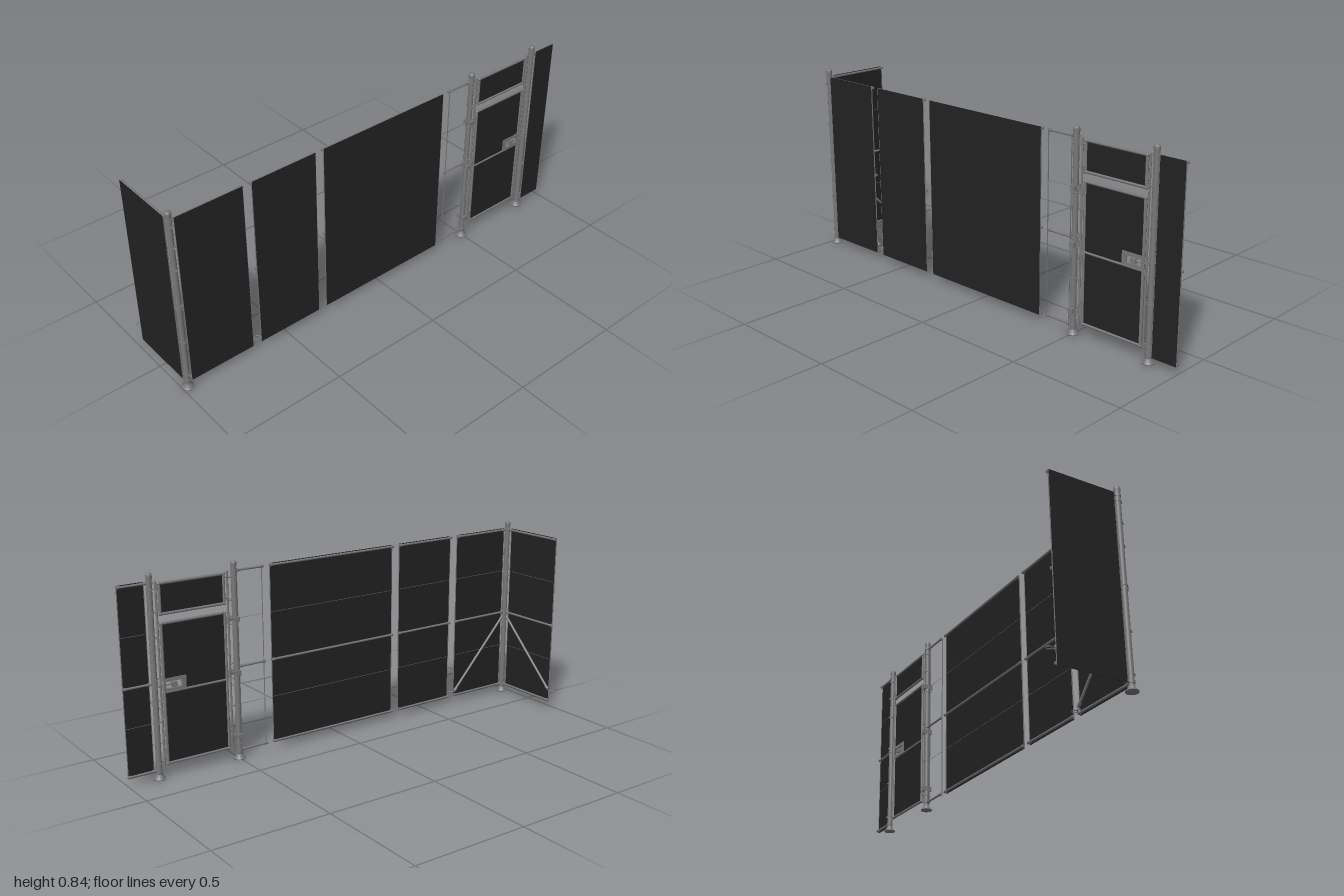
import * as THREE from 'three';

const material = (name, color) => {
  const m = new THREE.MeshStandardMaterial({ color });
  m.name = name;
  return m;
};

export function createModel() {
  const root = new THREE.Group();
  root.name = 'fence';
  const metal = material('galvanised metal', 0x777777);
  const screen = material('black screen', 0x222222);
  const WALL_Z = 0.162, CORNER_X = -0.975;
  const RAILS = [0.037, 0.398, 0.797], WIRES = [0.235, 0.6];
  const V = (x, y, z = 0) => new THREE.Vector3(x, y, z);

  function add(parent, name, geo, mat, x = 0, y = 0, z = 0) {
    const m = new THREE.Mesh(geo, mat);
    m.name = name;
    m.position.set(x, y, z);
    parent.add(m);
    return m;
  }
  const box = (p, name, mat, w, h, d, x, y, z = 0) =>
    add(p, name, new THREE.BoxGeometry(w, h, d), mat, x, y, z);

  // Round bar between two points
  function bar(p, name, a, b, r, sides = 12) {
    const d = b.clone().sub(a);
    const m = add(p, name, new THREE.CylinderGeometry(r, r, d.length(), sides), metal);
    m.position.copy(a).add(b).multiplyScalar(0.5);
    m.quaternion.setFromUnitVectors(V(0, 1, 0), d.normalize());
    return m;
  }
  function group(name, x, z, parent = root) {
    const g = new THREE.Group();
    g.name = name;
    g.position.set(x, 0, z);
    parent.add(g);
    return g;
  }

  // Post with flared foot, domed cap and clamp bands
  function post(name, x) {
    const g = group(name, x, WALL_Z);
    const profile = [[0, 0], [0.025, 0], [0.025, 0.004], [0.018, 0.007], [0.0145, 0.02],
      [0.0115, 0.021], [0.0115, 0.815], [0.013, 0.815], [0.013, 0.828], [0.011, 0.834],
      [0.006, 0.8365], [0, 0.837]].map(([r, y]) => new THREE.Vector2(r, y));
    add(g, 'postShaft', new THREE.LatheGeometry(profile, 20).toNonIndexed(), metal);
    for (const y of [0.068, 0.235, 0.415, 0.58, 0.68, 0.772]) {
      add(g, 'clampBand', new THREE.CylinderGeometry(0.0135, 0.0135, 0.006, 16), metal, 0, y);
      box(g, 'bandBolt', metal, 0.005, 0.006, 0.038, 0, y);
    }
    for (const y of RAILS)
      add(g, 'railBand', new THREE.CylinderGeometry(0.014, 0.014, 0.01, 16), metal, 0, y);
    return g;
  }

  // Panel from local x = 0 to w, screen on the side given by face
  function panel(name, x, w, { covered = true, face = 1, startGap = 0.006, endGap = 0.006 } = {}) {
    const g = group(name, x, WALL_Z);
    for (const y of RAILS) {
      bar(g, 'rail', V(-startGap, y), V(w + endGap, y), 0.0048);
      for (const cx of [0.004, w - 0.004]) bar(g, 'railCup', V(cx - 0.006, y), V(cx + 0.006, y), 0.0064);
    }
    for (const y of WIRES) bar(g, 'tensionWire', V(0, y, face * 0.003), V(w, y, face * 0.003), 0.0008, 6);
    for (const cx of [0, w]) box(g, 'tensionBar', metal, 0.002, 0.775, 0.004, cx, 0.4155, face * 0.006);
    if (covered) box(g, 'screenSheet', screen, w, 0.775, 0.002, w / 2, 0.4155, face * 0.007);
    return g;
  }

  // Diagonal brace ending in an eye hook
  function brace(g, w, endY) {
    const z = g.userData.face * -0.003;
    bar(g, 'diagonalBrace', V(-0.002, 0.378, z), V(w, endY + 0.006, z), 0.0055);
    bar(g, 'braceCup', V(w - 0.012, endY + 0.018, z), V(w, endY + 0.006, z), 0.007);
    bar(g, 'hookStem', V(w - 0.004, endY), V(w + 0.014, endY), 0.0025, 8);
    const ring = add(g, 'hookRing', new THREE.TorusGeometry(0.011, 0.0022, 8, 20), metal, w + 0.025, endY);
    ring.rotation.x = Math.PI / 2;
  }

  const posts = { corner: post('cornerPost', CORNER_X), hinge: post('hingePost', 0.5), latch: post('latchPost', 0.865) };

  // Straight wall
  const first = panel('cornerPanel', -0.958, 0.29, { startGap: 0.015 });
  first.userData.face = 1;
  brace(first, 0.29, 0.053);
  panel('narrowPanel', -0.628, 0.294);
  panel('widePanel', -0.294, 0.624);
  panel('openPanel', 0.368, 0.115, { covered: false, endGap: 0.015 });
  panel('endPanel', 0.885, 0.11, { startGap: 0.015, endGap: 0.004 });

  // Side wing, turned to run backwards from the corner
  const wing = panel('sideWing', 0, 0.29, { face: 1, startGap: 0.015, endGap: 0.004 });
  wing.position.set(CORNER_X, 0, 0.14);
  wing.rotation.y = Math.PI / 2;
  // local +z becomes +x here, so mirror depth to put the screen on the outside
  wing.traverse(o => { if (o !== wing) o.position.z *= -1; });
  wing.userData.face = -1;
  brace(wing, 0.29, 0.087);

  // Gate
  const gate = group('gate', 0, WALL_Z);
  const L = 0.547, R = 0.825, MID = (L + R) / 2;
  function frame(name, y0, y1) {
    const f = group(name, 0, 0, gate);
    for (const y of [y0, y1]) bar(f, 'frameRail', V(L, y), V(R, y), 0.006);
    for (const x of [L, R]) {
      bar(f, 'frameStile', V(x, y0), V(x, y1), 0.006);
      for (const y of [y0, y1]) add(f, 'frameCorner', new THREE.SphereGeometry(0.0075, 12, 8), metal, x, y);
    }
    return f;
  }
  const top = frame('transomFrame', 0.67, 0.79);
  box(top, 'transomScreen', screen, R - L, 0.12, 0.002, MID, 0.73);
  const leaf = frame('gateLeaf', 0.057, 0.632);
  bar(leaf, 'middleRail', V(L, 0.353), V(R, 0.353), 0.005);

  // Leaf screen with an opening for the latch
  const rect = (P, x0, x1, y0, y1) => {
    const p = new P();
    p.moveTo(x0, y0);
    p.lineTo(x1, y0);
    p.lineTo(x1, y1);
    p.lineTo(x0, y1);
    p.closePath();
    return p;
  };
  const sheet = rect(THREE.Shape, L, R, 0.057, 0.632);
  sheet.holes.push(rect(THREE.Path, 0.74, 0.818, 0.362, 0.402));
  add(leaf, 'leafScreen', new THREE.ExtrudeGeometry(sheet, { depth: 0.002, bevelEnabled: false }), screen, 0, 0, -0.001);
  const latchShape = rect(THREE.Shape, 0.73, 0.824, 0.356, 0.41);
  latchShape.holes.push(rect(THREE.Path, 0.748, 0.818, 0.368, 0.396));
  add(leaf, 'latchGuard', new THREE.ExtrudeGeometry(latchShape, { depth: 0.01, bevelEnabled: false }), metal, 0, 0, -0.005);
  bar(leaf, 'latchBolt', V(0.77, 0.383), V(0.85, 0.383), 0.0035);
  box(leaf, 'latchPlate', metal, 0.024, 0.02, 0.012, 0.781, 0.381);

  // Jambs with brackets and hinges
  for (const [x, px] of [[0.53, 0.5], [0.839, 0.865]]) {
    bar(gate, 'jamb', V(x, 0.045), V(x, 0.8), 0.0042);
    for (const y of [0.07, 0.235, 0.415, 0.58, 0.68, 0.772]) bar(gate, 'jambBracket', V(px, y), V(x, y), 0.0025, 8);
    const stile = x < MID ? L : R;
    for (const y of [0.69, 0.775]) bar(gate, 'transomBracket', V(x, y), V(stile, y), 0.004, 8);
  }
  for (const y of [0.1, 0.375, 0.6]) {
    box(posts.hinge, 'hingeClamp', metal, 0.022, 0.02, 0.04, 0, y);
    box(gate, 'hingeArm', metal, 0.04, 0.014, 0.008, 0.525, y);
    bar(gate, 'hingeBarrel', V(0.533, y - 0.016), V(0.533, y + 0.016), 0.0065);
  }
  return root;
}
